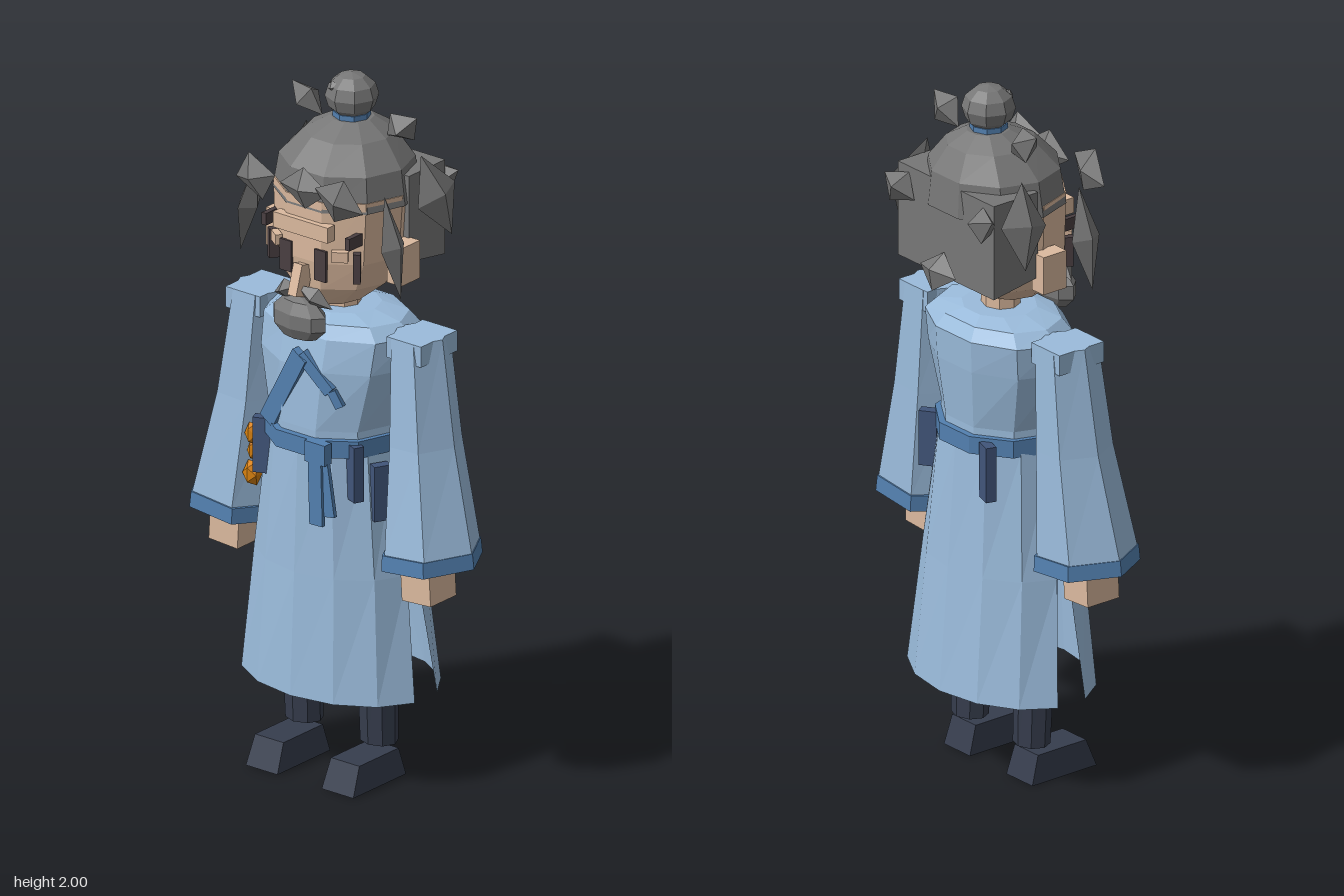
import * as THREE from 'three';

const mat = (name, color, side = THREE.FrontSide) => {
  const m = new THREE.MeshStandardMaterial({ color, flatShading: true, side });
  m.name = name;
  return m;
};

export function createModel() {
  const robe = mat('robeBlue', 0x9bbcdc, THREE.DoubleSide);
  const trim = mat('trimBlue', 0x5380b0);
  const hair = mat('hairGrey', 0x777777);
  const skin = mat('skin', 0xdcba9f);
  const dark = mat('darkCloth', 0x363d4d);
  const navy = mat('navyCloth', 0x41557a);
  const eye = mat('eyeBrown', 0x4a3f42);
  const orange = mat('gourdOrange', 0xd9820f);

  const model = new THREE.Group();
  const add = (name, geo, material, pos = [0, 0, 0], rot = [0, 0, 0], scale = [1, 1, 1]) => {
    const mesh = new THREE.Mesh(geo, material);
    mesh.name = name;
    mesh.position.set(...pos);
    mesh.rotation.set(...rot);
    mesh.scale.set(...scale);
    model.add(mesh);
    return mesh;
  };
  const box = (name, material, size, pos, rot) => add(name, new THREE.BoxGeometry(...size), material, pos, rot);
  // Pointed lock of hair
  const tuft = (name, size, pos, rot) => add(name, new THREE.OctahedronGeometry(1), hair, pos, rot, size);

  // Skin over elliptical rings, bottom to top: [y, radiusX, radiusZ, centreZ, centreX, tilt]
  const loft = (rows, n, { arc = () => [0, Math.PI * 2], caps = true } = {}) => {
    const pos = [], idx = [], w = n + 1;
    rows.forEach(([y, rx, rz, cz = 0, cx = 0, tilt = 0], i) => {
      const [a0, a1] = arc(i);
      for (let j = 0; j <= n; j++) {
        const a = a0 + (a1 - a0) * j / n, dx = Math.cos(a) * rx;
        pos.push(cx + dx, y + dx * tilt, cz + Math.sin(a) * rz);
      }
    });
    for (let i = 0; i < rows.length - 1; i++) {
      for (let j = 0; j < n; j++) {
        const a = i * w + j;
        idx.push(a, a + w, a + 1, a + 1, a + w, a + w + 1);
      }
    }
    if (caps) {
      const last = rows.length - 1, c = pos.length / 3;
      for (const r of [rows[0], rows[last]]) pos.push(r[4] || 0, r[0], r[3] || 0);
      for (let j = 0; j < n; j++) {
        idx.push(c, j, j + 1, c + 1, last * w + j + 1, last * w + j);
      }
    }
    const g = new THREE.BufferGeometry();
    g.setAttribute('position', new THREE.Float32BufferAttribute(pos, 3));
    g.setIndex(idx);
    g.computeVertexNormals();
    return g;
  };

  // Robe: torso, belt, and a skirt slit at both sides
  add('torso', loft([
    [0.97, 0.195, 0.173, 0.035], [1.04, 0.19, 0.173, 0.035], [1.21, 0.235, 0.178, 0.022],
    [1.3, 0.24, 0.17, 0.01], [1.335, 0.2, 0.145, 0.01], [1.35, 0.11, 0.1, 0.01],
  ], 10), robe);
  add('belt', loft([[0.97, 0.205, 0.193, 0.035], [1.02, 0.205, 0.193, 0.035]], 10), trim);
  const skirtRows = [[0.265, 0.302, 0.218, 0.018], [0.62, 0.252, 0.195, 0.024], [0.98, 0.2, 0.175, 0.03]];
  const gap = [0.22, 0.1, 0];
  add('skirtFront', loft(skirtRows, 6, { arc: i => [gap[i], Math.PI - gap[i]], caps: false }), robe);
  add('skirtBack', loft(skirtRows, 6, { arc: i => [Math.PI + gap[i], Math.PI * 2 - gap[i]], caps: false }), robe);

  // Crossed collar and chest tie
  box('collarLong', trim, [0.055, 0.26, 0.05], [-0.055, 1.135, 0.173], [0, -0.12, -0.51]);
  box('collarShort', trim, [0.035, 0.13, 0.04], [0.05, 1.205, 0.178], [0, 0.12, 0.8]);
  box('chestTie', trim, [0.025, 0.05, 0.03], [0.11, 1.14, 0.17], [0, 0.3, 0.5]);

  // Belt ribbons and hanging cloth tabs
  box('beltKnot', trim, [0.07, 0.06, 0.03], [0.08, 0.99, 0.215]);
  box('ribbonLong', trim, [0.045, 0.19, 0.012], [0.08, 0.875, 0.222], [0, 0, 0.03]);
  box('ribbonShort', trim, [0.04, 0.16, 0.012], [0.108, 0.89, 0.214], [0, 0, 0.16]);
  [[-0.165, 0.93, 0.15, 0.4], [0.205, 0.87, 0.1, 1.1], [0.155, 0.93, 0.15, -0.4],
    [0.165, 0.93, -0.1, 0.6], [-0.12, 0.93, -0.13, -0.3]].forEach(([x, y, z, r]) =>
    box('beltTab', navy, [0.05, 0.16, 0.03], [x, y, z], [0, r, 0]));

  // Gourd
  [[0.82, 0.028, 0.04], [0.885, 0.015, 0.03], [0.935, 0.022, 0.035]].forEach(([y, r, h]) =>
    add('gourd', new THREE.IcosahedronGeometry(1, 0), orange, [-0.225, y, 0.12], [0, 0, 0], [r, h, r]));

  // Arms and legs
  for (const s of [-1, 1]) {
    const t = 0.1 * s;
    add('sleeve', loft([
      [0.72, 0.138, 0.138, 0.04, 0.335 * s, t], [1.02, 0.1, 0.108, 0.025, 0.3 * s, t / 2],
      [1.325, 0.077, 0.09, 0.017, 0.275 * s],
    ], 6), robe);
    add('cuff', loft([
      [0.68, 0.146, 0.146, 0.04, 0.334 * s, t], [0.725, 0.143, 0.143, 0.04, 0.332 * s, t],
    ], 6), trim);
    add('cuffOpening', loft([
      [0.676, 0.132, 0.132, 0.04, 0.334 * s, t], [0.681, 0.132, 0.132, 0.04, 0.334 * s, t],
    ], 6), dark);
    box('shoulderPad', robe, [0.12, 0.06, 0.155], [0.28 * s, 1.295, 0.017]);
    box('hand', skin, [0.1, 0.14, 0.11], [0.332 * s, 0.65, 0.055], [0, 0, 0.06 * s]);

    add('leg', loft([
      [0.1, 0.055, 0.048, 0.015, 0.13 * s], [0.45, 0.062, 0.055, 0.025, 0.132 * s],
    ], 8), dark);
    add('trouser', loft([
      [0.42, 0.066, 0.058, 0.025, 0.132 * s], [0.9, 0.07, 0.07, 0.03, 0.11 * s],
    ], 8), navy);
    // Shoe with a sloped toe
    const shoe = new THREE.BoxGeometry(0.11, 0.082, 0.225), p = shoe.attributes.position;
    for (let i = 0; i < p.count; i++) {
      if (p.getY(i) > 0) {
        p.setX(i, p.getX(i) * 0.9);
        p.setZ(i, p.getZ(i) > 0 ? 0.08 : -0.088);
      }
    }
    add('shoe', shoe, dark, [0.132 * s, 0.041, 0.083]);
  }

  // Head
  add('neck', loft([[1.3, 0.055, 0.052, 0.015], [1.42, 0.055, 0.052, 0.015]], 8), skin);
  add('head', loft([
    [1.385, 0.09, 0.095, 0.05], [1.44, 0.155, 0.152, 0.02], [1.52, 0.19, 0.18, 0.005], [1.7, 0.2, 0.186, 0],
  ], 10), skin);
  box('brow', skin, [0.19, 0.045, 0.03], [0, 1.617, 0.178]);
  box('nose', skin, [0.03, 0.09, 0.05], [0, 1.465, 0.192], [-0.3, 0, 0]);
  for (const s of [-1, 1]) {
    box('ear', skin, [0.05, 0.11, 0.08], [0.21 * s, 1.515, 0.01]);
    box('eye', eye, [0.04, 0.09, 0.008], [0.06 * s, 1.517, 0.178]);
    box('cheekPlate', skin, [0.045, 0.03, 0.02], [0.11 * s, 1.55, 0.158], [0, 0.6 * s, 0]);
    box('templeLine', eye, [0.02, 0.085, 0.03], [0.145 * s, 1.517, 0.128], [0, 0.6 * s, 0]);
    box('browTip', eye, [0.015, 0.035, 0.06], [0.145 * s, 1.597, 0.14]);
    // Moustache half
    add('moustache', new THREE.OctahedronGeometry(1), hair, [0.048 * s, 1.425, 0.19], [0, 0.2 * s, -0.45 * s], [0.06, 0.03, 0.03]);
  }
  add('beard', new THREE.SphereGeometry(1, 8, 5), hair, [0, 1.355, 0.195], [0, 0, 0], [0.095, 0.065, 0.045]);

  // Hair cap, back hair, bun and band
  add('hairCap', loft([
    [1.67, 0.204, 0.192, -0.005], [1.77, 0.188, 0.18, -0.008], [1.84, 0.125, 0.125, -0.02], [1.875, 0.06, 0.06, -0.03],
  ], 10), hair);
  const back = new THREE.BoxGeometry(0.405, 0.26, 0.155), bp = back.attributes.position;
  for (let i = 0; i < bp.count; i++) {
    if (bp.getY(i) < 0) bp.setY(i, bp.getZ(i) < 0 ? -0.145 : -0.12);
  }
  add('backHair', back, hair, [0, 1.62, -0.1]);
  add('bunBand', loft([[1.865, 0.052, 0.052, -0.028], [1.89, 0.052, 0.052, -0.028]], 8), trim);
  add('bun', new THREE.SphereGeometry(0.074, 8, 6), hair, [0, 1.936, -0.028], [0, 0, 0], [1, 0.88, 1]);
  tuft('bunTuft', [0.022, 0.02, 0.015], [-0.025, 1.965, 0.02], [0, 0, 0.3]);

  // Hair locks
  tuft('fringeMiddle', [0.085, 0.06, 0.03], [0.02, 1.74, 0.2], [0, 0, 0.05]);
  tuft('napeTuft', [0.075, 0.055, 0.035], [0, 1.5, -0.205], [0.4, 0, 0]);
  for (const s of [-1, 1]) {
    tuft('fringeSide', [0.08, 0.07, 0.03], [0.145 * s, 1.735, 0.205], [0.1, 0.1 * s, -0.3 * s]);
    tuft('sideLock', [0.03, 0.145, 0.048], [0.25 * s, 1.595, 0.105], [0, 0, 0.2 * s]);
    tuft('rearSideLock', [0.035, 0.12, 0.08], [0.235 * s, 1.68, -0.1], [0.2, 0, 0.3 * s]);
    tuft('backTuft', [0.06, 0.05, 0.045], [0.175 * s, 1.69, -0.195], [0.3, 0.3 * s, 0.4 * s]);
    tuft('crownTuft', [0.065, 0.05, 0.04], [0.165 * s, 1.88, -0.04], [0.3, 0.2 * s, 0.6 * s]);
  }
  return model;
}
